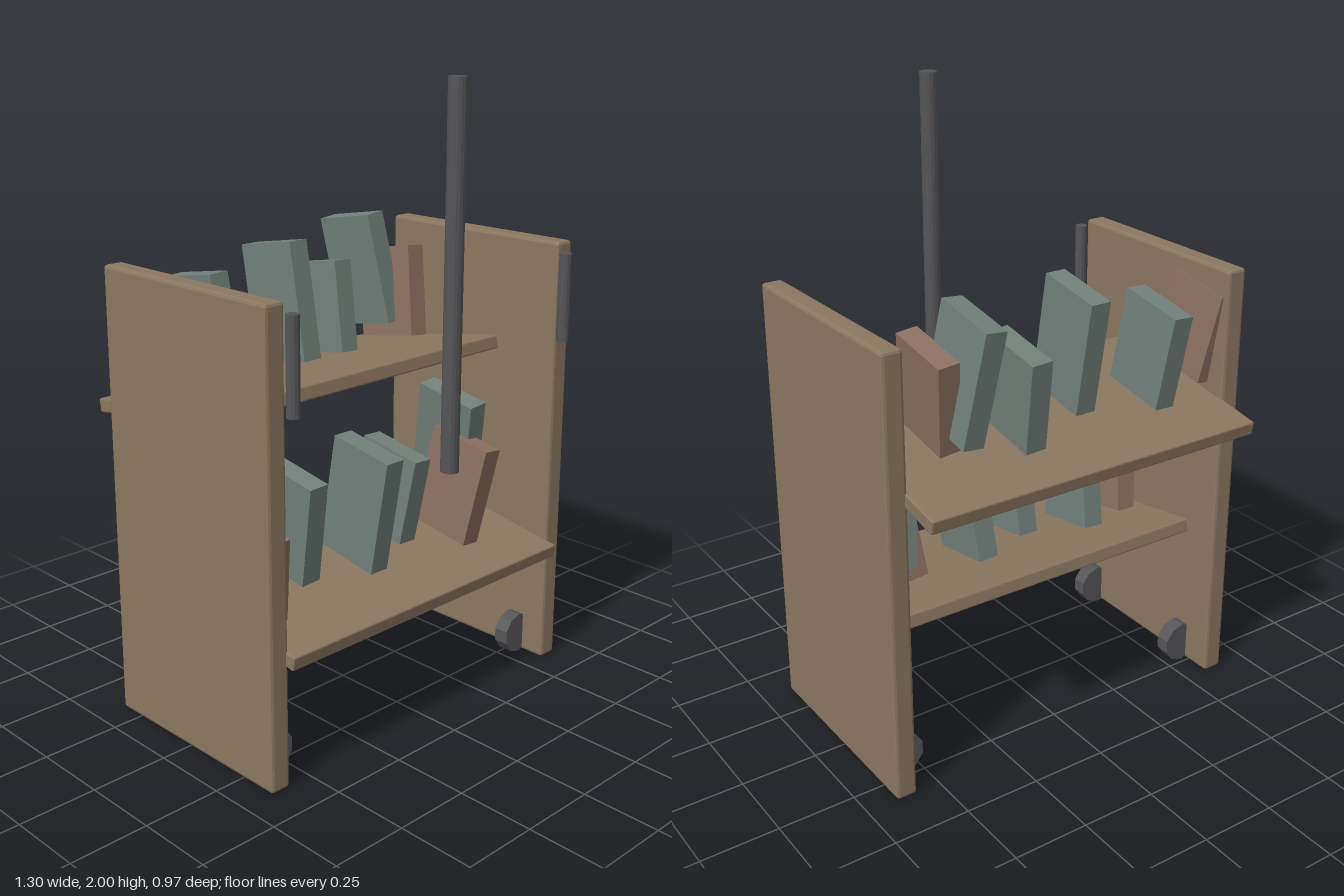
import * as THREE from 'three';
import { RoundedBoxGeometry } from 'three/addons/geometries/RoundedBoxGeometry.js';

const material = (color) => new THREE.MeshStandardMaterial({ color, flatShading: true });
const wood = material(0x8b7760);
const green = material(0x72807a);
const brown = material(0x8b7060);
const metal = material(0x555558);
const TILT = THREE.MathUtils.degToRad(10);

export function createModel() {
  const model = new THREE.Group();

  const add = (name, geometry, mat, x, y, z) => {
    const mesh = new THREE.Mesh(geometry, mat);
    mesh.name = name;
    mesh.position.set(x, y, z);
    model.add(mesh);
    return mesh;
  };

  // Places a tilted block by the middle of its front top edge
  const hangBlock = (name, geometry, mat, [x, y, z], h, d, pitch, lean = 0) => {
    const mesh = add(name, geometry, mat, x, y, z);
    mesh.rotation.set(pitch, 0, lean);
    mesh.position.sub(new THREE.Vector3(0, h / 2, d / 2).applyEuler(mesh.rotation));
  };

  // Side panels, short grips and wheels, mirrored
  for (const [side, s] of [['left', 1], ['right', -1]]) {
    add(side + 'SidePanel', new RoundedBoxGeometry(0.068, 1.445, 0.72, 1, 0.01), wood, s * 0.615, 0.7275, 0.02);
    add(side + 'Grip', new THREE.CylinderGeometry(0.02, 0.02, 0.285, 12), metal, s * 0.58, 1.2775, 0.41);
    for (const [end, z] of [['Front', 0.27], ['Back', -0.21]]) {
      const wheel = new THREE.CylinderGeometry(0.07, 0.07, 0.05, 10).rotateX(Math.PI / 2);
      add(side + end + 'Wheel', wheel, metal, s * 0.562, 0.075, z);
    }
  }

  // Tall pole at the front
  add('pole', new THREE.CylinderGeometry(0.028, 0.028, 1.15, 16), metal, 0, 1.425, 0.455);

  // Shelves: the upper one slopes to the back, the lower one to the front
  const shelf = (name, y, z, pitch) =>
    hangBlock(name, new RoundedBoxGeometry(1.18, 0.045, 0.63, 1, 0.005), wood, [0, y, z], 0.045, 0.63, pitch);
  shelf('upperShelf', 1.105, 0.137, -TILT);
  shelf('lowerShelf', 0.43, 0.415, TILT);

  // Books: front top edge x, y, z, then height, sideways lean in degrees, cover
  const rows = {
    upperBook: [-TILT, [
      [-0.61, 1.395, -0.092, 0.30, 7, brown],
      [-0.345, 1.405, -0.18, 0.31, 3, green],
      [-0.09, 1.48, -0.105, 0.375, 0, green],
      [0.168, 1.373, -0.175, 0.30, -3, green],
      [0.332, 1.505, -0.19, 0.37, 6, green],
      [0.427, 1.398, -0.095, 0.30, -6, brown],
    ]],
    lowerBook: [TILT, [
      [-0.54, 0.73, 0.307, 0.28, 6, brown],
      [-0.318, 0.82, 0.23, 0.335, 3, green],
      [-0.09, 0.865, 0.32, 0.38, 0, green],
      [0.14, 0.787, 0.22, 0.29, -3, green],
      [0.37, 0.788, 0.314, 0.335, -6, brown],
      [0.386, 0.92, 0.233, 0.37, 6, green],
    ]],
  };
  for (const [name, [pitch, books]] of Object.entries(rows)) {
    books.forEach(([x, y, z, h, lean, cover], i) => {
      const d = 0.23;
      hangBlock(name + (i + 1), new THREE.BoxGeometry(0.07, h, d), cover, [x, y, z], h, d, pitch,
        THREE.MathUtils.degToRad(lean));
    });
  }

  return model;
}
